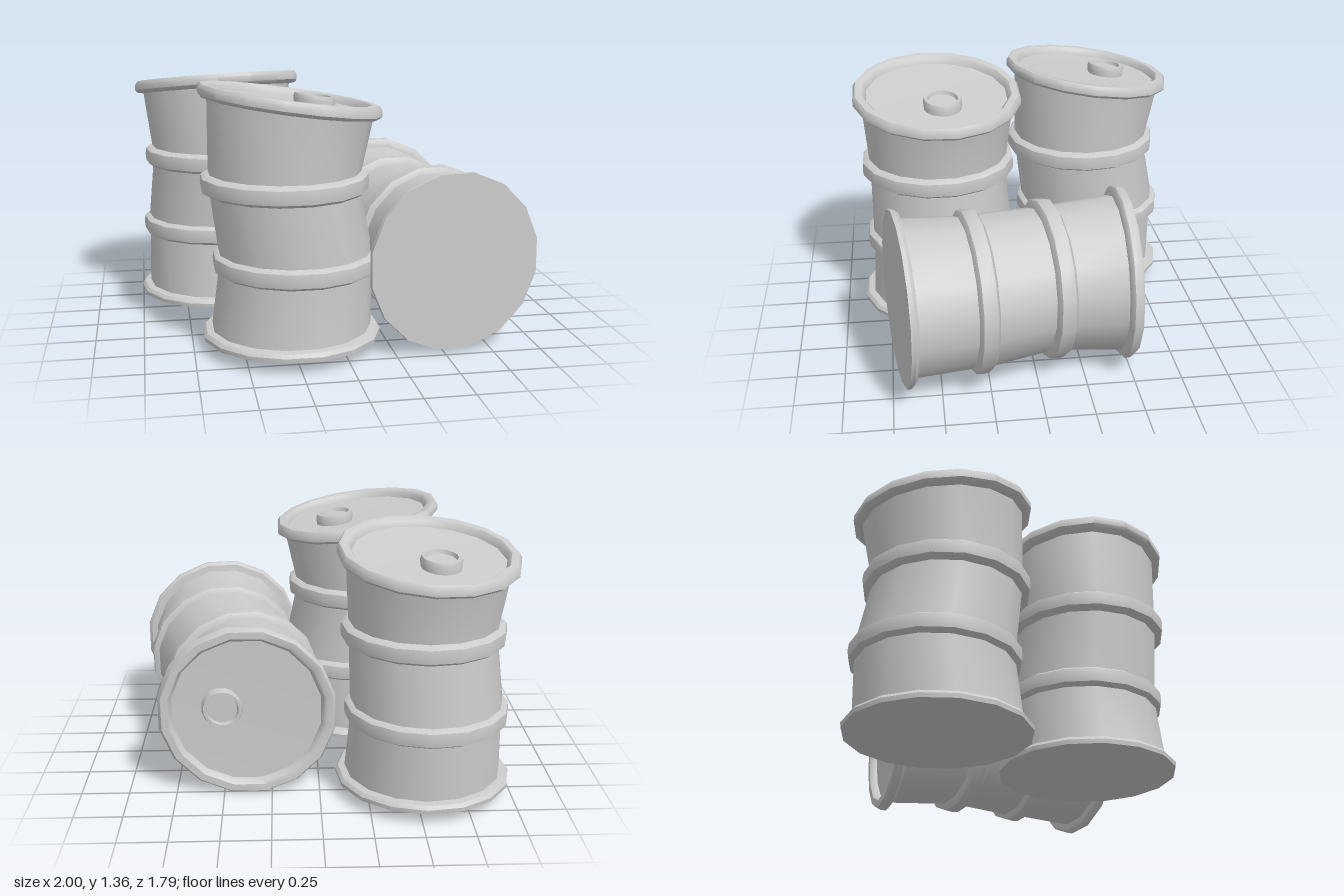
import * as THREE from 'three';
import { toCreasedNormals } from 'three/addons/utils/BufferGeometryUtils.js';

const SIDES = 16;
const material = new THREE.MeshStandardMaterial({ color: 0xcccccc });

// Crooked centre line: [height, sideways offset]
const SPINE = [[0, 0], [0.05, 0], [0.35, 0.025], [0.43, 0.025], [0.76, -0.032], [0.84, -0.032], [1.14, 0.0], [2, 0.0]];
const LID_SLOPE = -0.146;

function spineOffset(y) {
  for (let i = 1; i < SPINE.length; i++) {
    const [y0, a] = SPINE[i - 1], [y1, b] = SPINE[i];
    if (y <= y1) return THREE.MathUtils.lerp(a, b, (y - y0) / (y1 - y0));
  }
  return 0;
}

// Shift every ring along the crooked spine and slant the lid end
function dent(geometry) {
  const p = geometry.attributes.position;
  for (let i = 0; i < p.count; i++) {
    const x = p.getX(i), y = p.getY(i);
    p.setXY(i, x + spineOffset(y), y > 1 ? y + LID_SLOPE * x : y);
  }
  return toCreasedNormals(geometry, 0.72);
}

function lathePart(name, profile, shiftX = 0) {
  const geometry = new THREE.LatheGeometry(profile.map(([r, y]) => new THREE.Vector2(r, y)), SIDES);
  geometry.translate(shiftX, 0, 0);
  const mesh = new THREE.Mesh(dent(geometry), material);
  mesh.name = name;
  return mesh;
}

// Raised hoop around the body, starting at height y
const hoop = (name, y) => lathePart(name, [
  [0.37, y - 0.015], [0.395, y - 0.012], [0.422, y + 0.005], [0.426, y + 0.04],
  [0.422, y + 0.075], [0.395, y + 0.092], [0.37, y + 0.095],
]);

function createBarrel(name) {
  const barrel = new THREE.Group();
  barrel.name = name;
  barrel.add(
    // Base, flared foot, waisted wall, rounded rim and sunken lid
    lathePart('shell', [
      [0, 0], [0.458, 0], [0.46, 0.022], [0.445, 0.04], [0.41, 0.045],
      [0.393, 0.35], [0.395, 0.43], [0.382, 0.76], [0.385, 0.84], [0.414, 1.165],
      [0.445, 1.17], [0.46, 1.185], [0.46, 1.215], [0.447, 1.235],
      [0.41, 1.235], [0.396, 1.222], [0.388, 1.195], [0, 1.185],
    ]),
    hoop('lowerHoop', 0.35),
    hoop('upperHoop', 0.76),
    // Filler plug with a hollow top
    lathePart('plug', [
      [0.1, 1.175], [0.105, 1.225], [0.098, 1.245], [0.083, 1.245], [0.078, 1.225], [0, 1.225],
    ], 0.13),
  );
  return barrel;
}

export function createModel() {
  const model = new THREE.Group();
  model.name = 'barrelStack';

  const front = createBarrel('frontBarrel');
  front.position.set(-0.245, 0.08, 0.44);
  front.rotation.y = THREE.MathUtils.degToRad(11.25);

  const back = createBarrel('backBarrel');
  back.position.set(-0.545, 0.08, -0.435);
  back.rotation.y = THREE.MathUtils.degToRad(109.5);

  // Barrel lying on its side, base towards the front
  const lying = createBarrel('lyingBarrel');
  const axis = new THREE.Vector3(-0.148, -0.016, -0.989).normalize();
  const side = new THREE.Vector3(0.98, 0.195, 0);
  side.addScaledVector(axis, -side.dot(axis)).normalize();
  const third = new THREE.Vector3().crossVectors(side, axis);
  lying.quaternion.setFromRotationMatrix(new THREE.Matrix4().makeBasis(side, axis, third));
  lying.position.set(0.553, 0.487, 0.71);

  model.add(front, back, lying);
  return model;
}
